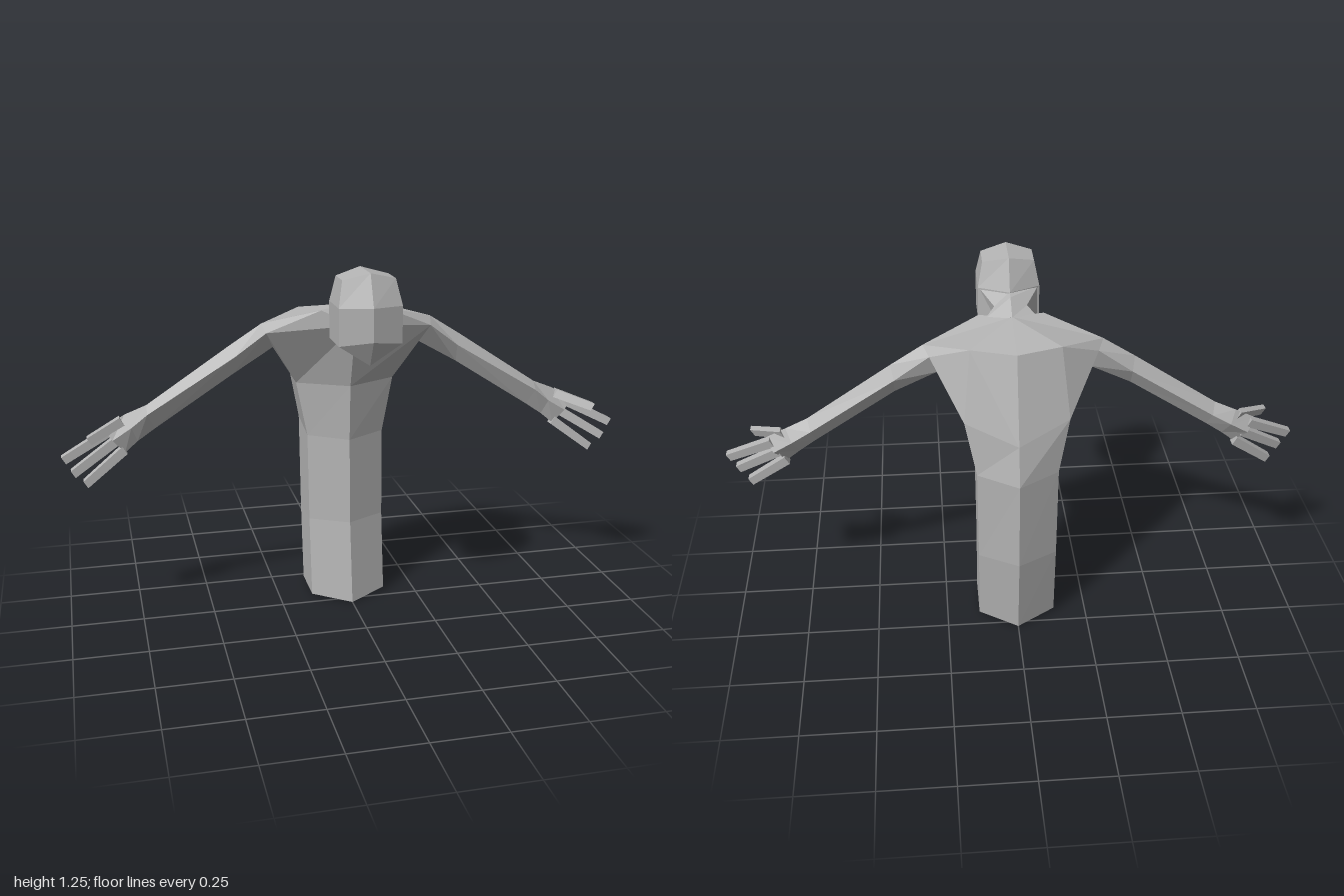
import * as THREE from 'three';

const grey = new THREE.MeshStandardMaterial({ color: 0xb4b4b4 });
grey.name = 'plain grey';
const flipX = ([x, y, z]) => [-x, y, z];

// Flat-faced mesh from convex polygons; zero-area triangles are dropped.
function polyMesh(name, polys, closed = true) {
  const tris = [];
  const v = (p) => new THREE.Vector3(...p);
  let volume = 0;
  for (const p of polys) {
    for (let i = 1; i < p.length - 1; i++) {
      const [a, b, c] = [v(p[0]), v(p[i]), v(p[i + 1])];
      const n = b.clone().sub(a).cross(c.clone().sub(a));
      if (n.length() < 1e-9) continue;
      volume += a.dot(b.clone().cross(c));
      tris.push([a, b, c]);
    }
  }
  // closed solids are turned outward
  if (closed && volume < 0) tris.forEach((t) => t.reverse());
  const geometry = new THREE.BufferGeometry().setFromPoints(tris.flat());
  geometry.computeVertexNormals();
  const mesh = new THREE.Mesh(geometry, grey);
  mesh.name = name;
  return mesh;
}

// Skin between rings of equal length, closed with a fan at both ends.
function loft(name, rings) {
  const polys = [];
  const n = rings[0].length;
  for (let r = 0; r < rings.length - 1; r++) {
    for (let i = 0; i < n; i++) {
      const j = (i + 1) % n;
      polys.push([rings[r][i], rings[r][j], rings[r + 1][j], rings[r + 1][i]]);
    }
  }
  const cap = (ring, flip) => {
    const mid = [0, 1, 2].map((k) => ring.reduce((s, p) => s + p[k], 0) / n);
    // the middle of a ridged end lies on the ridge
    if (n === 6) mid[1] = (ring[0][1] + ring[3][1]) / 2;
    for (let i = 0; i < n; i++) {
      const t = [mid, ring[i], ring[(i + 1) % n]];
      polys.push(flip ? t.reverse() : t);
    }
  };
  cap(rings[0], true);
  cap(rings[rings.length - 1], false);
  return polyMesh(name, polys);
}

// Six-sided ring: front ridge, side corners, back ridge, mirrored across x.
const hex = (front, fc, bc, back) => [front, fc, bc, back, flipX(bc), flipX(fc)];

// Four-sided finger between two points.
function finger(name, a, b, half, side) {
  const ring = ([x, y, z], h) => [[0.5, 0.85, 1], [0.5, 0.85, -1], [-0.5, -0.85, -1], [-0.5, -0.85, 1]]
    .map(([dx, dy, dz]) => [side * (x + dx * h), y + dy * h, z + dz * h]);
  return loft(name, [ring(a, half), ring(b, half * 0.9)]);
}

export function createModel() {
  const model = new THREE.Group();
  model.name = 'figure';

  // trunk
  const F = [0, 0.81, 0.005], C = [0.175, 0.81, -0.086], D = [0.175, 0.825, -0.215], B = [0, 0.77, -0.29];
  model.add(loft('trunk', [
    hex([0, 0.002, 0.037], [0.135, 0.016, -0.037], [0.135, 0.016, -0.2], [0, 0.002, -0.275]),
    hex([0, 0.3, 0], [0.135, 0.3, -0.073], [0.135, 0.3, -0.235], [0, 0.3, -0.31]),
    hex([0, 0.61, -0.008], [0.137, 0.615, -0.083], [0.137, 0.64, -0.245], [0, 0.63, -0.32]),
    hex(F, C, D, B),
  ]));

  // chest, shoulders and upper back
  const N = [0, 1.04, 0.08], T = [0, 1.1, 0], K = [0.11, 1.09, 0.045];
  const U = [0.15, 1.065, -0.16], V = [0, 1.06, -0.2];
  const S = [0.3, 1.035, -0.05], A = [0.29, 1.01, -0.005], P = [0.257, 0.945, -0.075], Q = [0.28, 1.01, -0.092];
  const half = [
    [F, C, A, N], [N, A, K], [C, P, A], [C, D, P], [D, U, Q], [D, Q, P],
    [B, V, U, D], [K, A, S], [T, K, S], [T, S, U], [T, U, V], [U, S, Q], [T, N, K],
  ];
  const mirrored = half.map((p) => p.map(flipX).reverse());
  model.add(polyMesh('shoulders', [...half, ...mirrored], false));

  // neck
  model.add(loft('neck', [
    hex([0, 1.03, 0.07], [0.08, 1.05, 0.05], [0.09, 1.085, 0.02], [0, 1.1, -0.005]),
    hex([0, 1.05, 0.095], [0.055, 1.065, 0.085], [0.055, 1.11, 0.065], [0, 1.14, 0.068]),
    hex([0, 1.03, 0.14], [0.1, 1.03, 0.15], [0.1, 1.14, 0.15], [0, 1.145, 0.1]),
  ]));

  // head with a keeled chin
  model.add(loft('head', [
    hex([0, 0.95, 0.28], [0, 0.95, 0.28], [0, 0.95, 0.152], [0, 0.95, 0.152]),
    hex([0, 1.035, 0.325], [0.105, 1.02, 0.288], [0.105, 1.02, 0.147], [0, 1.035, 0.11]),
    hex([0, 1.145, 0.325], [0.105, 1.143, 0.288], [0.105, 1.143, 0.147], [0, 1.145, 0.092]),
    hex([0, 1.25, 0.28], [0.088, 1.228, 0.262], [0.088, 1.228, 0.168], [0, 1.25, 0.138]),
  ]));

  // arms: each ring runs top, front, bottom, back
  const armRings = [
    [S, A, P, Q],
    [[0.41, 0.965, -0.05], [0.395, 0.93, -0.022], [0.4, 0.865, -0.05], [0.4, 0.92, -0.08]],
    [[0.7, 0.773, -0.05], [0.7, 0.745, -0.022], [0.675, 0.688, -0.05], [0.69, 0.735, -0.08]],
    [[0.775, 0.742, -0.058], [0.755, 0.7, -0.03], [0.735, 0.647, -0.05], [0.755, 0.7, -0.088]],
    [[0.85, 0.7, -0.045], [0.82, 0.66, -0.03], [0.78, 0.61, -0.045], [0.82, 0.66, -0.08]],
  ];
  const fingers = [
    [[0.825, 0.69, -0.055], [0.985, 0.612, -0.01]],
    [[0.805, 0.655, -0.055], [0.957, 0.562, -0.007]],
    [[0.78, 0.62, -0.055], [0.918, 0.517, -0.022]],
  ];
  for (const [label, side] of [['left', 1], ['right', -1]]) {
    const arm = new THREE.Group();
    arm.name = label + 'Arm';
    arm.add(loft('armAndPalm', armRings.map((r) => (side > 0 ? r : r.map(flipX)))));
    fingers.forEach(([a, b], i) => arm.add(finger('finger' + (i + 1), a, b, 0.016, side)));
    arm.add(finger('thumb', [0.785, 0.722, -0.055], [0.898, 0.685, 0.03], 0.016, side));
    model.add(arm);
  }
  return model;
}
